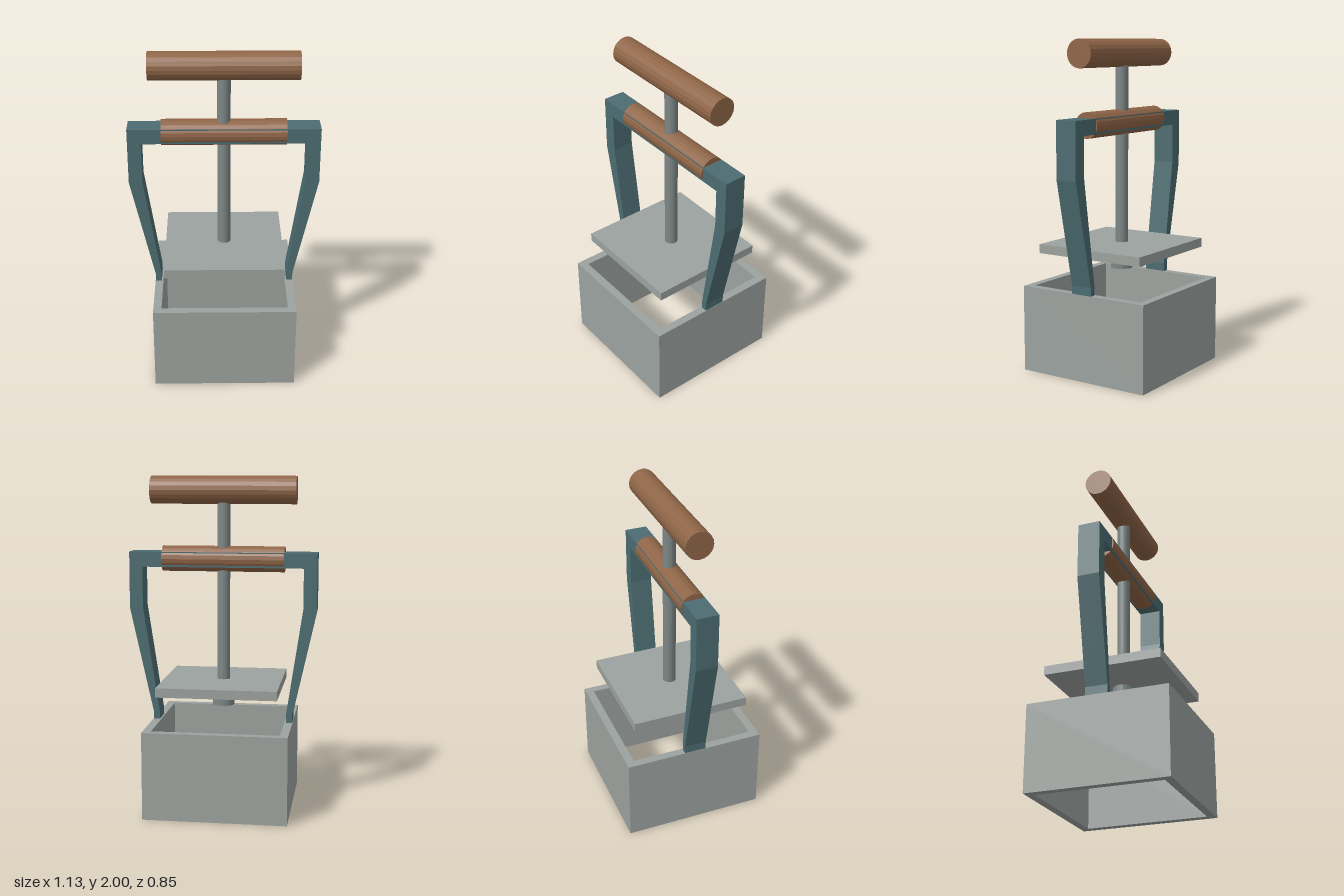
import * as THREE from 'three';

export function createModel() {
  const model = new THREE.Group();
  model.name = 'handPress';

  const material = (name, color) => {
    const m = new THREE.MeshStandardMaterial({ color });
    m.name = name;
    return m;
  };
  const steel = material('light steel', 0x9ca29f);
  const rodSteel = material('dark steel', 0x7d8686);
  const paint = material('teal paint', 0x4c6c71);
  const wood = material('wood', 0x8f6547);
  rodSteel.flatShading = wood.flatShading = true;

  const add = (name, geometry, mat, y = 0) => {
    const mesh = new THREE.Mesh(geometry, mat);
    mesh.name = name;
    mesh.position.y = y;
    model.add(mesh);
    return mesh;
  };
  const rod = (name, radius, y0, y1) =>
    add(name, new THREE.CylinderGeometry(radius, radius, y1 - y0, 20), rodSteel, (y0 + y1) / 2);
  const grip = (name, radius, length, y) =>
    add(name, new THREE.CylinderGeometry(radius, radius, length, 20).rotateZ(Math.PI / 2), wood, y);
  const square = (Type, h) => {
    const s = new Type();
    s.moveTo(-h, -h).lineTo(h, -h).lineTo(h, h).lineTo(-h, h).closePath();
    return s;
  };

  // Open square mould, without top or bottom
  const wall = square(THREE.Shape, 0.427);
  wall.holes.push(square(THREE.Path, 0.378));
  add('mould', new THREE.ExtrudeGeometry(wall, { depth: 0.525, bevelEnabled: false })
    .rotateX(-Math.PI / 2), steel);

  // Arched frame: one half outline, mirrored across x = 0
  const outer = [[0.425, 0.52], [0.425, 0.575], [0.565, 1.21], [0.565, 1.55]];
  const inner = [[0.485, 1.46], [0.485, 1.22], [0.388, 0.575], [0.388, 0.52]];
  const mirror = (pts) => pts.map(([x, y]) => [-x, y]).reverse();
  const outline = [...outer, ...mirror(outer), ...mirror(inner), ...inner];
  const arch = new THREE.Shape(outline.map(([x, y]) => new THREE.Vector2(x, y)));
  add('frame', new THREE.ExtrudeGeometry(arch, { depth: 0.134, bevelEnabled: false })
    .translate(0, 0, -0.067), paint);

  // Plunger: plate, collar beneath it and shaft
  add('pressPlate', new THREE.BoxGeometry(0.714, 0.055, 0.714), steel, 0.75);
  rod('collar', 0.066, 0.617, 0.73);
  rod('shaft', 0.039, 0.75, 1.9);

  // Wooden grips
  grip('frameGrip', 0.077, 0.736, 1.508);
  grip('topHandle', 0.083, 0.872, 1.917);

  return model;
}
